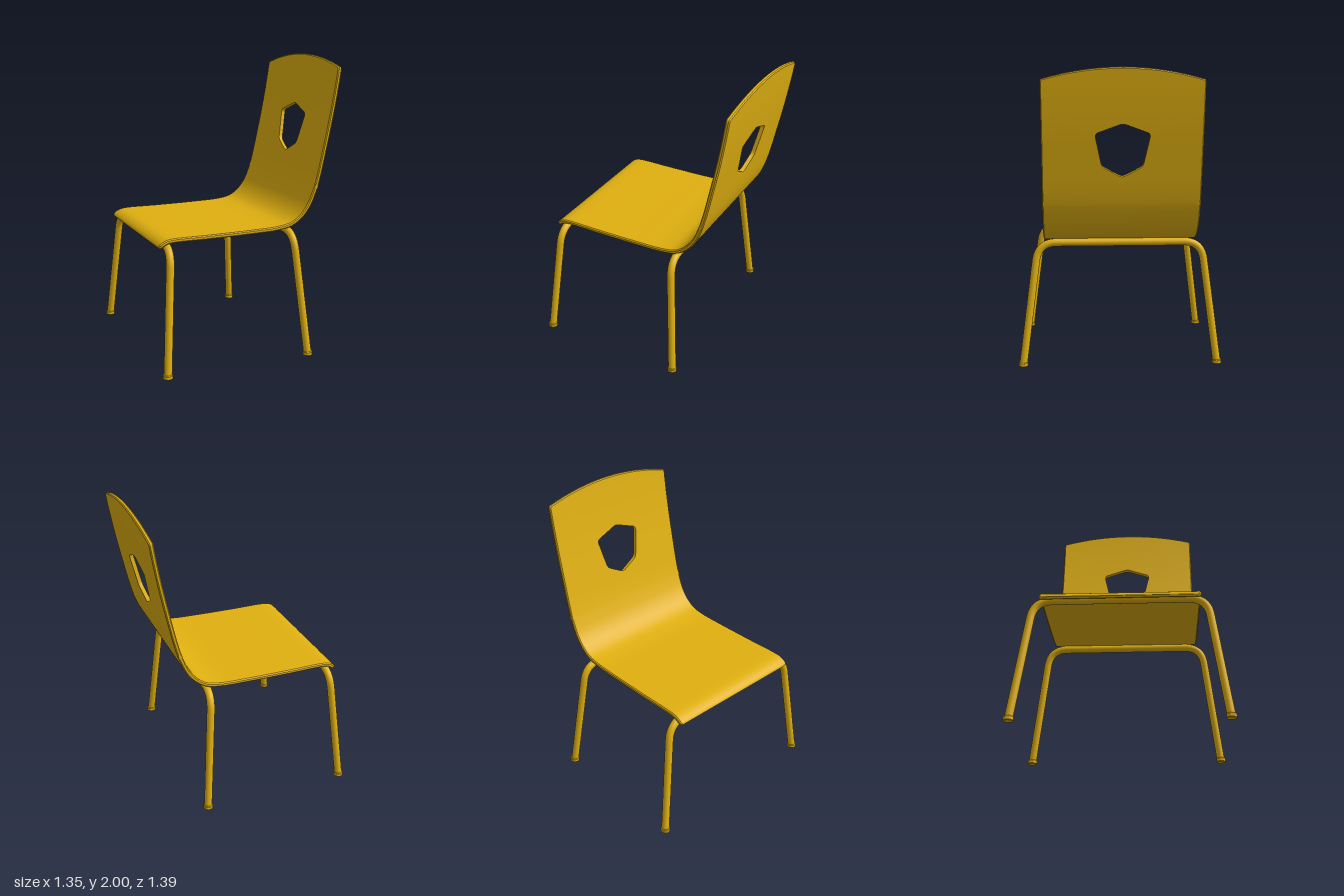
import * as THREE from 'three';
import { toCreasedNormals } from 'three/addons/utils/BufferGeometryUtils.js';

const material = new THREE.MeshStandardMaterial({ color: 0xe0b010 });
const W = 0.517, H = 0.014, R = 0.007;   // half width, half thickness, edge rounding
const JOIN = 1.12;                       // height where seat sheet meets the back panel

// Side profile of the bent sheet, front lip to top of the back
const profile = new THREE.CatmullRomCurve3([
  [-0.638, 0.813], [-0.618, 0.833], [-0.585, 0.849], [-0.54, 0.855], [-0.3, 0.855], [0, 0.858],
  [0.2, 0.865], [0.3, 0.884], [0.37, 0.928], [0.43, 1.0], [0.475, 1.1], [0.505, 1.2],
  [0.55, 1.4], [0.592, 1.6], [0.628, 1.8], [0.658, 2.0], [0.661, 2.02],
].map(([x, y]) => new THREE.Vector3(x, y, 0)));

// Point on the sheet: u along the profile, z across, off through the thickness
function sheetPoint(u, z, off) {
  const p = profile.getPointAt(u), t = profile.getTangentAt(u);
  return [p.x - t.y * off, p.y + t.x * off, z];
}

// Profile parameter at a given height of the back
function uAtHeight(y) {
  let lo = 0.5, hi = 1;
  for (let i = 0; i < 24; i++) {
    const mid = (lo + hi) / 2;
    if (profile.getPointAt(mid).y < y) lo = mid; else hi = mid;
  }
  return (lo + hi) / 2;
}

// Skin a list of closed loops; optionally join the last loop to the first
function loft(rows, closed) {
  const n = rows[0].length, index = [];
  const last = closed ? rows.length : rows.length - 1;
  for (let i = 0; i < last; i++) {
    const k = (i + 1) % rows.length;
    for (let j = 0; j < n; j++) {
      const m = (j + 1) % n;
      const a = i * n + j, b = k * n + j, c = k * n + m, d = i * n + m;
      index.push(a, d, c, a, c, b);
    }
  }
  const geo = new THREE.BufferGeometry();
  geo.setAttribute('position', new THREE.Float32BufferAttribute(rows.flat(2), 3));
  geo.setIndex(index);
  return toCreasedNormals(geo, 0.6);
}

// Seat and lower bend: a rounded strip section swept along the profile
function seatGeometry() {
  const uEnd = uAtHeight(JOIN), rows = [];
  const addRow = (u, w, h) => {
    const r = Math.min(R, h / 2);
    rows.push([[-w + r, h], [w - r, h], [w, h - r], [w, r - h], [w - r, -h], [r - w, -h], [-w, r - h], [-w, h - r]]
      .map(([z, off]) => sheetPoint(u, z, off)));
  };
  // Rounded front lip
  addRow(0, W - 0.02, 0);
  addRow(0, W - 0.017, H * 0.55);
  addRow(0.003, W - 0.006, H * 0.9);
  addRow(0.008, W, H);
  for (let i = 1; i <= 80; i++) addRow(0.008 + (uEnd - 0.008) * i / 80, W, H);
  return loft(rows, false);
}

// Polygon with softened corners
function roundedPolygon(corners, r) {
  const shape = new THREE.Shape();
  corners.forEach((c, i) => {
    const p = new THREE.Vector2(...c);
    const toward = (q) => p.clone().add(new THREE.Vector2(...q).sub(p).setLength(r));
    const a = toward(corners.at(i - 1)), b = toward(corners[(i + 1) % corners.length]);
    if (i) shape.lineTo(a.x, a.y); else shape.moveTo(a.x, a.y);
    shape.quadraticCurveTo(p.x, p.y, b.x, b.y);
  });
  shape.closePath();
  return shape.getPoints(5);
}

// Where a ray from the centre meets a polygon
function rayHit(poly, centre, angle) {
  const dx = Math.cos(angle), dy = Math.sin(angle);
  let best = 0;
  poly.forEach((p, i) => {
    const q = poly[(i + 1) % poly.length];
    const ex = q.x - p.x, ey = q.y - p.y, det = dx * ey - dy * ex;
    if (Math.abs(det) < 1e-9) return;
    const px = p.x - centre.x, py = p.y - centre.y;
    const t = (px * ey - py * ex) / det, s = (px * dy - py * dx) / det;
    if (t > 0 && s > -1e-5 && s < 1 + 1e-5) best = Math.max(best, t);
  });
  return new THREE.Vector2(centre.x + dx * best, centre.y + dy * best);
}

// Back panel: rings from the hand hole out to the arched outline, bent on the profile
function backGeometry() {
  const centre = new THREE.Vector2(0, 1.49);
  const hole = roundedPolygon(
    [[0, 1.652], [-0.178, 1.587], [-0.132, 1.375], [0, 1.305], [0.132, 1.375], [0.178, 1.587]], 0.025);
  const outline = new THREE.Shape()
    .moveTo(-W, JOIN).lineTo(W, JOIN).lineTo(W, 1.91)
    .quadraticCurveTo(W, 1.923, W - 0.013, 1.927)
    .quadraticCurveTo(0, 2.071, 0.013 - W, 1.927)
    .quadraticCurveTo(-W, 1.923, -W, 1.91)
    .lineTo(-W, JOIN).getPoints(16);

  const angles = [...hole, ...outline].map((p) => Math.atan2(p.y - centre.y, p.x - centre.x));
  for (let i = 0; i < 64; i++) angles.push(-Math.PI + (i + 0.5) * Math.PI / 32);
  angles.sort((a, b) => a - b);
  const unique = angles.filter((a, i) => !i || a - angles[i - 1] > 1e-4);

  const steps = 10;
  const rows = unique.map((angle) => {
    const a = rayHit(hole, centre, angle), b = rayHit(outline, centre, angle);
    const edge = b.y < JOIN + 1e-3 ? H : H - R;      // no rounding along the joint
    const inner = 1 - R / a.distanceTo(b);
    const section = [];
    for (let i = 0; i <= steps; i++) section.push([inner * i / steps, H]);
    section.push([1, edge], [1, -edge]);
    for (let i = steps; i >= 0; i--) section.push([inner * i / steps, -H]);
    return section.map(([f, off]) => {
      const p = a.clone().lerp(b, f);
      return sheetPoint(uAtHeight(p.y), p.x, off);
    });
  });
  return loft(rows, true);
}

// Bent tube frame with two splayed legs and their feet
function legFrame(name, topX, topY, footX) {
  const group = new THREE.Group();
  group.name = name;
  const footZ = 0.662, cornerZ = 0.555, bend = 0.125;
  const v = (x, y, z) => new THREE.Vector3(x, y, z);
  const side = (s) => {
    const foot = v(footX, 0.01, s * footZ), corner = v(topX, topY, s * cornerZ);
    const low = corner.clone().add(foot.clone().sub(corner).setLength(bend));
    return { foot, corner, low, inner: v(topX, topY, s * (cornerZ - bend)) };
  };
  const l = side(1), r = side(-1);
  const path = new THREE.CurvePath();
  path.add(new THREE.LineCurve3(l.foot, l.low));
  path.add(new THREE.QuadraticBezierCurve3(l.low, l.corner, l.inner));
  path.add(new THREE.LineCurve3(l.inner, r.inner));
  path.add(new THREE.QuadraticBezierCurve3(r.inner, r.corner, r.low));
  path.add(new THREE.LineCurve3(r.low, r.foot));
  const tube = new THREE.Mesh(new THREE.TubeGeometry(path, 140, 0.0265, 20), material);
  tube.name = 'legTube';
  group.add(tube);

  const footGeo = toCreasedNormals(new THREE.LatheGeometry(
    [[0, 0], [0.028, 0], [0.032, 0.004], [0.032, 0.024], [0.028, 0.029], [0, 0.029]]
      .map(([x, y]) => new THREE.Vector2(x, y)), 24), 0.6);
  for (const s of [1, -1]) {
    const foot = new THREE.Mesh(footGeo, material);
    foot.name = s > 0 ? 'leftFoot' : 'rightFoot';
    foot.position.set(footX, 0, s * footZ);
    group.add(foot);
  }
  return group;
}

export function createModel() {
  const chair = new THREE.Group();
  chair.name = 'chair';
  const seat = new THREE.Mesh(seatGeometry(), material);
  seat.name = 'seat';
  const back = new THREE.Mesh(backGeometry(), material);
  back.name = 'backrest';
  chair.add(seat, back,
    legFrame('frontLegs', -0.578, 0.82, -0.645),
    legFrame('rearLegs', 0.293, 0.84, 0.362));
  return chair;
}
